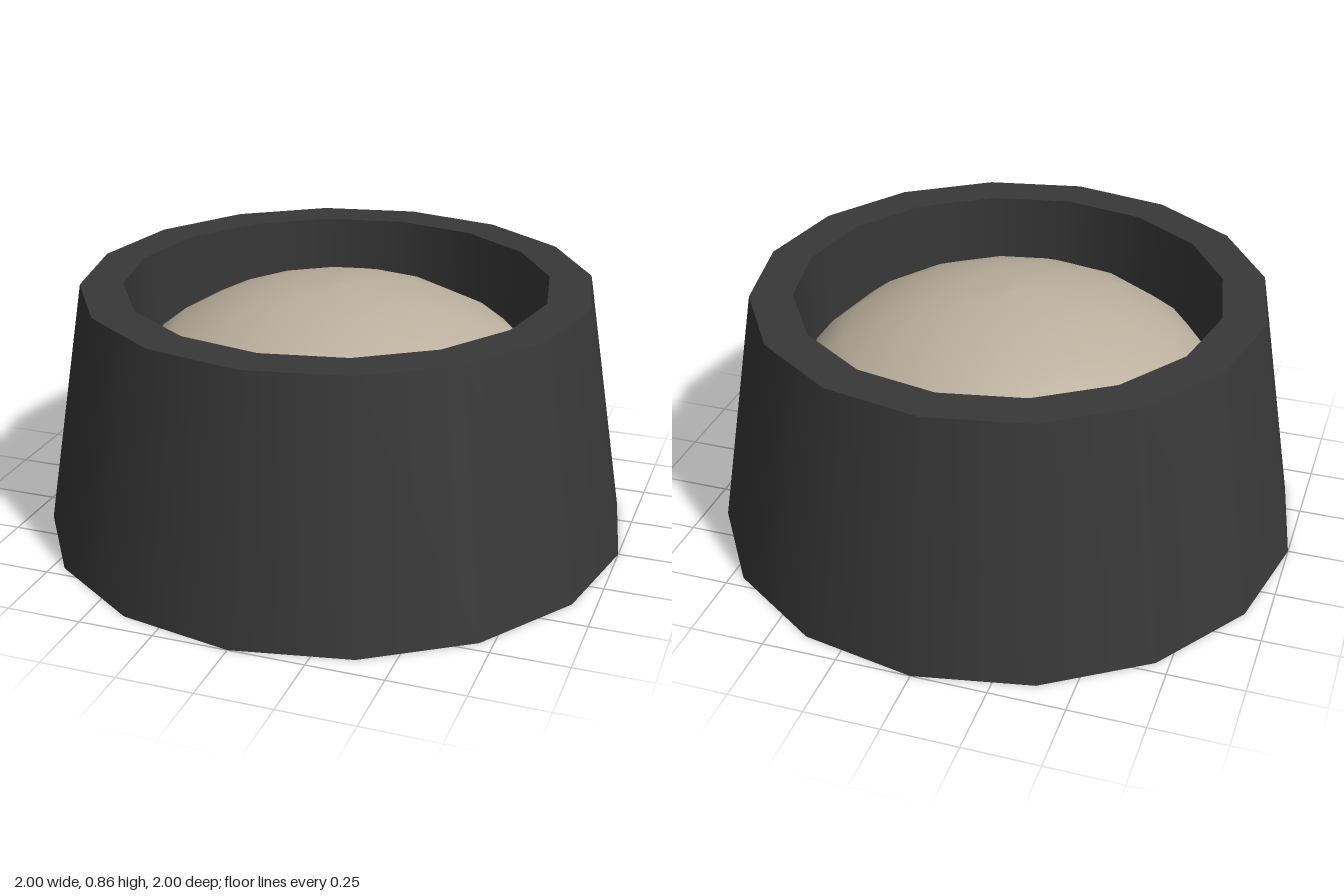
import * as THREE from 'three';
import { mergeGeometries } from 'three/addons/utils/BufferGeometryUtils.js';

const SIDES = 16;

// Smooth 16-sided surface turned from [radius, height] points
function turned(points) {
  return new THREE.LatheGeometry(points.map(([r, y]) => new THREE.Vector2(r, y)), SIDES);
}

export function createModel() {
  const group = new THREE.Group();
  group.name = 'filledBowl';

  const charcoal = new THREE.MeshStandardMaterial({ color: 0x383838 });
  charcoal.name = 'charcoal';
  const beige = new THREE.MeshStandardMaterial({ color: 0xbbb09e });
  beige.name = 'beige';

  // Bowl: underside, sloping wall, flat rim and inner wall, with sharp edges between them
  const profile = [[0, 0], [1, 0], [0.857, 0.857], [0.714, 0.857], [0.714, 0.45]];
  const bands = profile.slice(1).map((p, i) => turned([profile[i], p]));
  const bowl = new THREE.Mesh(mergeGeometries(bands), charcoal);
  bowl.name = 'bowl';
  group.add(bowl);

  // Domed filling, reaching the inner wall just below the rim
  const dome = [
    [0.714, 0.54], [0.65, 0.62], [0.56, 0.692], [0.42, 0.764],
    [0.28, 0.811], [0.14, 0.838], [0, 0.847],
  ];
  const filling = new THREE.Mesh(turned(dome), beige);
  filling.name = 'filling';
  group.add(filling);

  return group;
}
